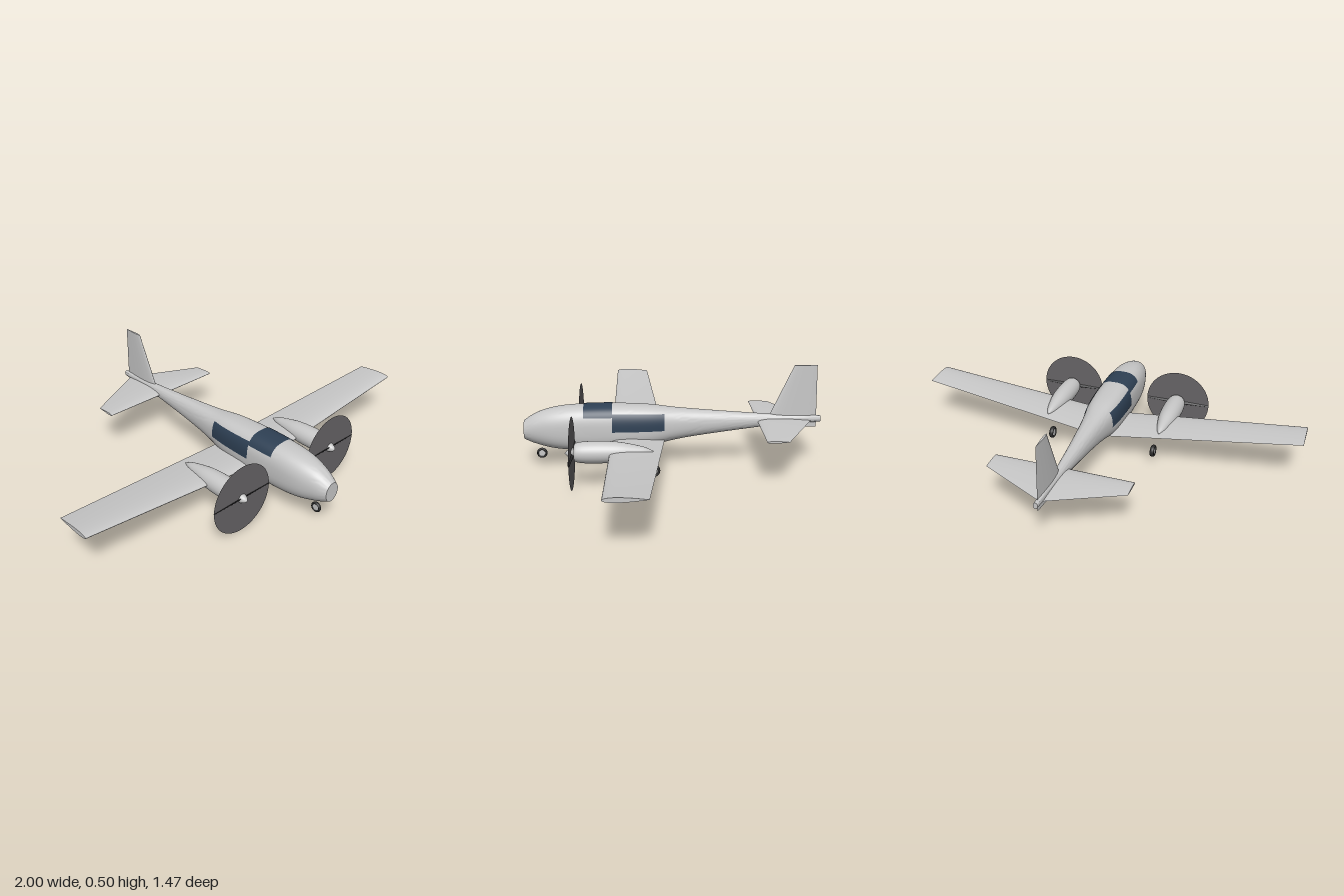
import * as THREE from 'three';
import { toCreasedNormals } from 'three/addons/utils/BufferGeometryUtils.js';

const V = (x, y, z) => new THREE.Vector3(x, y, z);

// Skin a list of closed rings, each counter-clockwise about the loft direction
function loft(rings, crease = 0.8) {
  const n = rings[0].length, pos = [], idx = [];
  rings.forEach(r => r.forEach(p => pos.push(p.x, p.y, p.z)));
  for (let i = 0; i < rings.length - 1; i++) {
    for (let j = 0; j < n; j++) {
      const k = (j + 1) % n, a = i * n, b = a + n;
      idx.push(a + j, a + k, b + j, a + k, b + k, b + j);
    }
  }
  // End caps
  [[0, true], [rings.length - 1, false]].forEach(([i, flip]) => {
    const mid = rings[i].reduce((s, p) => s.add(p), V(0, 0, 0)).divideScalar(n);
    const c = pos.length / 3;
    pos.push(mid.x, mid.y, mid.z);
    for (let j = 0; j < n; j++) {
      const a = i * n + j, b = i * n + (j + 1) % n;
      idx.push(c, flip ? b : a, flip ? a : b);
    }
  });
  const g = new THREE.BufferGeometry();
  g.setAttribute('position', new THREE.Float32BufferAttribute(pos, 3));
  g.setIndex(idx);
  return toCreasedNormals(g, crease);
}

// Symmetric airfoil: place(offset, z) turns a thickness offset into a point
function airfoil(le, te, thick, place, n = 32) {
  return Array.from({ length: n }, (_, i) => {
    const a = i / n * Math.PI * 2, c = (1 + Math.cos(a)) / 2;
    const t = 5 * thick * (0.2969 * Math.sqrt(c) - 0.126 * c - 0.3516 * c * c + 0.2843 * c ** 3 - 0.1036 * c ** 4);
    return place((i < n / 2 ? 1 : -1) * t * (le - te), le + (te - le) * c);
  });
}

// Fuselage stations: z, bottom, top, half width, squareness
const stations = [
  [-0.735, 0.216, 0.247, 0.011, 2], [-0.5, 0.2, 0.258, 0.022, 2], [-0.3, 0.177, 0.272, 0.037, 2.1],
  [-0.1, 0.151, 0.288, 0.055, 2.3], [0, 0.134, 0.297, 0.068, 2.4], [0.1, 0.112, 0.309, 0.083, 2.6],
  [0.2, 0.097, 0.315, 0.09, 2.7], [0.3, 0.091, 0.318, 0.092, 2.7], [0.44, 0.09, 0.316, 0.091, 2.7],
  [0.53, 0.094, 0.311, 0.088, 2.6], [0.6, 0.102, 0.301, 0.08, 2.4], [0.66, 0.116, 0.284, 0.066, 2.2],
  [0.7, 0.129, 0.264, 0.054, 2.1], [0.735, 0.145, 0.24, 0.04, 2],
];

// Smoothly interpolated body section at z
function section(z) {
  let i = 0;
  while (i < stations.length - 2 && z > stations[i + 1][0]) i++;
  const at = k => stations[Math.max(0, Math.min(stations.length - 1, k))];
  const [p, a, b, q] = [at(i - 1), at(i), at(i + 1), at(i + 2)];
  const d = b[0] - a[0], t = (z - a[0]) / d;
  const val = m => {
    const ma = (b[m] - p[m]) / (b[0] - p[0]) * d, mb = (q[m] - a[m]) / (q[0] - a[0]) * d;
    return (2 * t ** 3 - 3 * t * t + 1) * a[m] + (t ** 3 - 2 * t * t + t) * ma
      + (3 * t * t - 2 * t ** 3) * b[m] + (t ** 3 - t * t) * mb;
  };
  return { cy: (val(1) + val(2)) / 2, h: (val(2) - val(1)) / 2, w: val(3), n: val(4) };
}
const signPow = (v, e) => Math.sign(v) * Math.abs(v) ** e;
function bodyPoint(z, a, grow = 0) {
  const s = section(z);
  return V((s.w + grow) * signPow(Math.cos(a), 2 / s.n), s.cy + (s.h + grow) * signPow(Math.sin(a), 2 / s.n), z);
}
// Angle at which the body side reaches height y
function angleAt(z, y) {
  const s = section(z), v = Math.max(-1, Math.min(1, (y - s.cy) / s.h));
  return Math.asin(signPow(v, s.n / 2));
}

// Thin pane following the body between two angles
function pane(z0, z1, from, to, nu = 24, nz = 12) {
  const pos = [], idx = [];
  for (let i = 0; i <= nz; i++) {
    const z = z0 + (z1 - z0) * i / nz, a = from(z), b = to(z);
    for (let j = 0; j <= nu; j++) {
      const p = bodyPoint(z, a + (b - a) * j / nu, 0.002);
      pos.push(p.x, p.y, p.z);
      if (i < nz && j < nu) {
        const k = i * (nu + 1) + j, m = k + nu + 1;
        idx.push(k, k + 1, m, k + 1, m + 1, m);
      }
    }
  }
  const g = new THREE.BufferGeometry();
  g.setAttribute('position', new THREE.Float32BufferAttribute(pos, 3));
  g.setIndex(idx);
  g.computeVertexNormals();
  return g;
}

export function createModel() {
  const model = new THREE.Group();
  model.name = 'twinEngineAircraft';
  const mat = (name, color, side = THREE.FrontSide) => {
    const m = new THREE.MeshStandardMaterial({ color, side });
    m.name = name;
    return m;
  };
  const skin = mat('paleGreySkin', 0xc8c8c8);
  const glass = mat('darkBlueGlass', 0x2e4054, THREE.DoubleSide);
  const blur = mat('propellerGrey', 0x666466, THREE.DoubleSide);
  const dark = mat('bladeDarkGrey', 0x2c2c2e);
  const rubber = mat('tyreBlack', 0x2a2a2a);
  const add = (name, geo, m, x = 0, y = 0, z = 0, parent = model) => {
    const mesh = new THREE.Mesh(geo, m);
    mesh.name = name;
    mesh.position.set(x, y, z);
    parent.add(mesh);
    return mesh;
  };

  // Fuselage
  const rings = [];
  for (let i = 0; i <= 70; i++) {
    const z = -0.735 + 1.47 * i / 70;
    rings.push(Array.from({ length: 48 }, (_, j) => bodyPoint(z, j / 48 * Math.PI * 2)));
  }
  add('fuselage', loft(rings), skin);

  // Windshield and cabin side windows
  add('windshield', pane(0.3, 0.44, z => angleAt(z, 0.27), z => Math.PI - angleAt(z, 0.27), 48), glass);
  const low = z => angleAt(z, 0.2), high = z => angleAt(z, 0.287 - (0.3 - z) * 0.03);
  add('leftWindow', pane(0.045, 0.3, low, high), glass);
  add('rightWindow', pane(0.045, 0.3, z => Math.PI - high(z), z => Math.PI - low(z)), glass);

  // Wing with dihedral, and tailplane
  add('wing', loft([-1, 0, 1].map(x => {
    const s = Math.abs(x);
    return airfoil(0.305, 0.04 + 0.085 * s, 0.12, (t, z) => V(x, 0.14 + 0.1 * s + t, z));
  })), skin);
  add('tailplane', loft([-0.338, 0, 0.338].map(x =>
    airfoil(-0.418, x ? -0.522 : -0.692, 0.1, (t, z) => V(x, 0.225, z).add(V(0, t, 0))))), skin);

  // Fin
  add('fin', loft([[0.19, -0.45, -0.715], [0.505, -0.595, -0.708]].map(([y, le, te]) =>
    airfoil(le, te, 0.08, (t, z) => V(-t, y, z)))), skin);

  // Engines
  const lathe = pts => new THREE.LatheGeometry(
    new THREE.SplineCurve(pts.map(p => new THREE.Vector2(...p))).getPoints(40)
      .map(p => p.setX(Math.max(0, p.x))), 32).rotateX(Math.PI / 2);
  const nacelle = lathe([[0, 0.1], [0.02, 0.14], [0.035, 0.2], [0.046, 0.26], [0.051, 0.33],
    [0.051, 0.4], [0.047, 0.445], [0.037, 0.466], [0, 0.47]]);
  const spinner = lathe([[0.024, 0.462], [0.022, 0.478], [0.014, 0.497], [0, 0.51]]);
  for (const [side, x] of [['left', 0.3], ['right', -0.3]]) {
    const engine = new THREE.Group();
    engine.name = side + 'Engine';
    engine.position.set(x, 0.17, 0);
    model.add(engine);
    add('nacelle', nacelle, skin, 0, 0.006, 0, engine);
    add('spinner', spinner, skin, 0, 0.003, 0, engine);
    add('propellerDisc', new THREE.CircleGeometry(0.17, 64), blur, 0, 0, 0.478, engine);
    // Two pitched blades
    for (const d of [1, -1]) {
      const blade = add('propellerBlade', new THREE.CylinderGeometry(0.006, 0.015, 0.165, 12), dark,
        d * 0.0865, 0.003, 0.478, engine);
      blade.geometry.scale(1, 1, 0.2).rotateZ(-d * Math.PI / 2);
      blade.rotation.x = 0.75;
    }
  }

  // Wheels: tyre with a pale hub
  const wheel = (name, x, y, z, r, w) => {
    const g = new THREE.Group();
    g.name = name;
    g.position.set(x, y, z);
    model.add(g);
    const tube = r * 0.22;
    add('tyre', new THREE.TorusGeometry(r - tube, tube, 14, 32).scale(1, 1, w / (2 * tube)).rotateY(Math.PI / 2),
      rubber, 0, 0, 0, g);
    add('hub', new THREE.CylinderGeometry(r * 0.62, r * 0.62, w * 0.7, 24).rotateZ(Math.PI / 2), skin, 0, 0, 0, g);
  };
  wheel('noseWheel', 0, 0.068, 0.655, 0.026, 0.016);
  wheel('leftMainWheel', 0.275, 0.072, 0.102, 0.031, 0.022);
  wheel('rightMainWheel', -0.275, 0.072, 0.102, 0.031, 0.022);
  return model;
}
